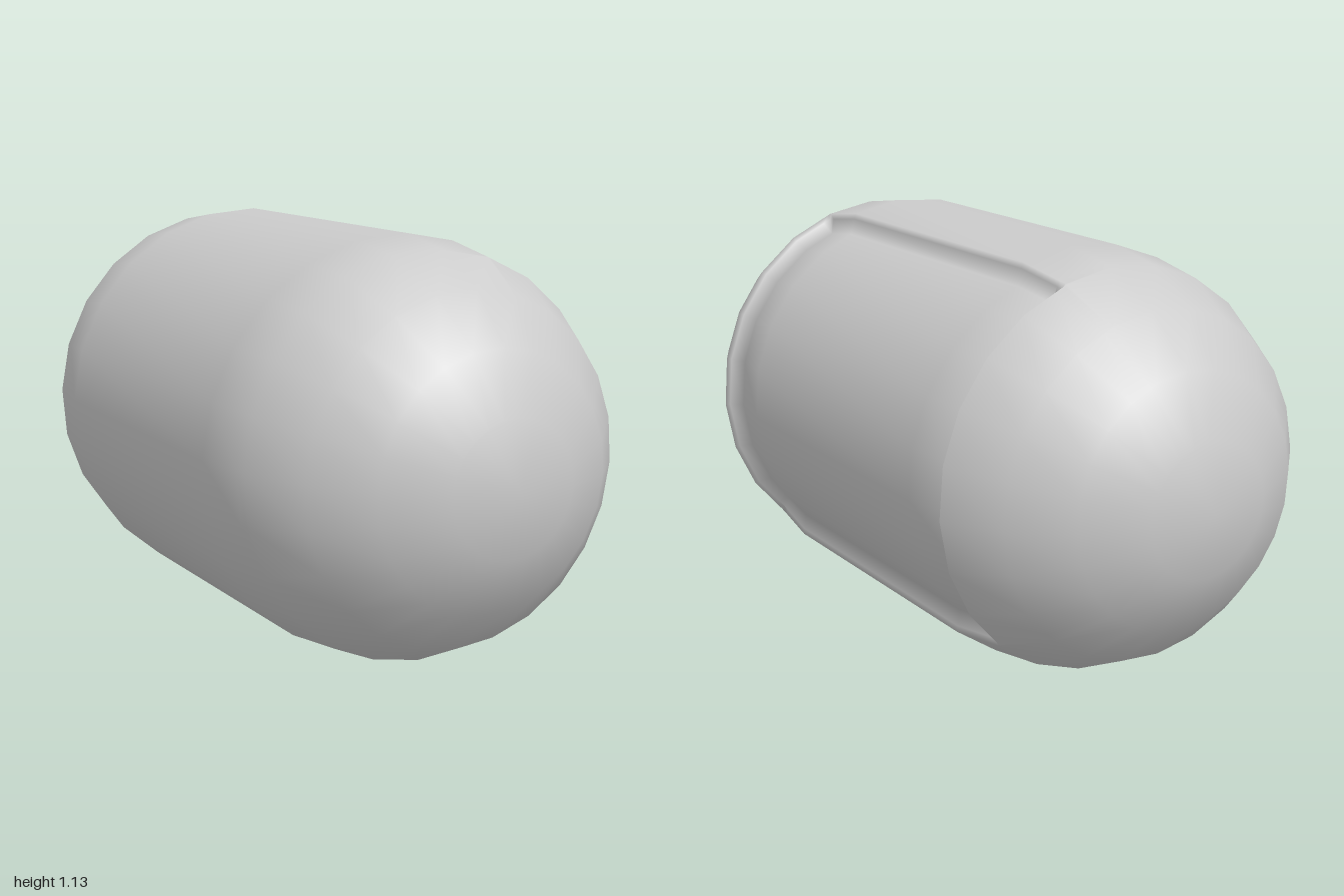
import * as THREE from 'three';

const R = 0.567, HALF = 0.433, DEPTH = 0.046, LIP = 0.012;
const CENTRE = new THREE.Vector3(0.014, 0.567, 0);
const rad = THREE.MathUtils.degToRad;

// Cosine and sine of an angle, running straight between the facet corners
function onChord(deg, start, step) {
  const k = Math.floor((deg - start) / step + 1e-6);
  const t = (deg - start) / step - k;
  const a = rad(start + k * step), b = rad(start + (k + 1) * step);
  return [
    THREE.MathUtils.lerp(Math.cos(a), Math.cos(b), t),
    THREE.MathUtils.lerp(Math.sin(a), Math.sin(b), t),
  ];
}

// Recess depth from the distance (degrees) inside the panel border
function stepDepth(inside, lip, wall) {
  if (inside < 1e-6) return 0;
  if (inside < lip + 1e-6) return LIP;
  return inside < wall - 1e-6 ? DEPTH * 0.6 : DEPTH;
}

export function createModel() {
  // Angles round the body: 24 facets plus extra lines for the panel walls
  const around = [];
  for (let a = -48; a < 312; a += 15) around.push(a);
  around.push(-47, -44.2, 68.2, 71);
  around.sort((a, b) => a - b);

  // Rows from one pole to the other: [end sign, latitude]
  const lats = [90, 72, 54, 36, 18, 17.4, 15, 0];
  const rows = [
    ...lats.map((l) => [-1, l]),
    ...lats.slice().reverse().map((l) => [1, l]),
  ];

  const pos = [], index = [], smooth = [], n = around.length;
  rows.forEach(([s, lat]) => {
    const [cr, cz] = onChord(lat, 0, 18);
    const dv = stepDepth(18 - lat, 0.6, 3);
    around.forEach((a) => {
      const [cx, cy] = onChord(a, -48, 15);
      const du = stepDepth(Math.min(a + 48, 72 - a), 1, 3.8);
      const d = Math.min(du, dv);
      const normal = new THREE.Vector3(
        Math.cos(rad(a)) * Math.cos(rad(lat)),
        Math.sin(rad(a)) * Math.cos(rad(lat)),
        s * Math.sin(rad(lat)));
      const p = new THREE.Vector3(R * cr * cx, R * cr * cy, s * (HALF + R * cz))
        .addScaledVector(normal, -d);
      pos.push(p.x, p.y, p.z);
      // Shell and floor are smooth; panel border and walls blend
      const onBorder = a >= -48 && a <= 72 && lat <= 18 && d < DEPTH;
      smooth.push(onBorder ? null : normal);
    });
  });
  for (let j = 0; j < rows.length - 1; j++) {
    for (let i = 0; i < n; i++) {
      const a = j * n + i, b = j * n + (i + 1) % n;
      if (j < rows.length - 2) index.push(a, b + n, a + n);
      if (j > 0) index.push(a, b, b + n);
      else index.push(a, b + n, a + n);
      if (j === rows.length - 2) index.push(a, b + n, a + n);
    }
  }

  const geometry = new THREE.BufferGeometry();
  geometry.setAttribute('position', new THREE.Float32BufferAttribute(pos, 3));
  geometry.setIndex(index);
  geometry.computeVertexNormals();
  smooth.forEach((v, i) => {
    if (v) geometry.attributes.normal.setXYZ(i, v.x, v.y, v.z);
  });

  // Capsule body with the sunken side panel
  const body = new THREE.Mesh(geometry, new THREE.MeshStandardMaterial({ color: 0xcccccc }));
  body.name = 'capsuleBodyWithRecessedPanel';
  body.position.copy(CENTRE);

  const group = new THREE.Group();
  group.name = 'capsule';
  group.add(body);
  return group;
}
